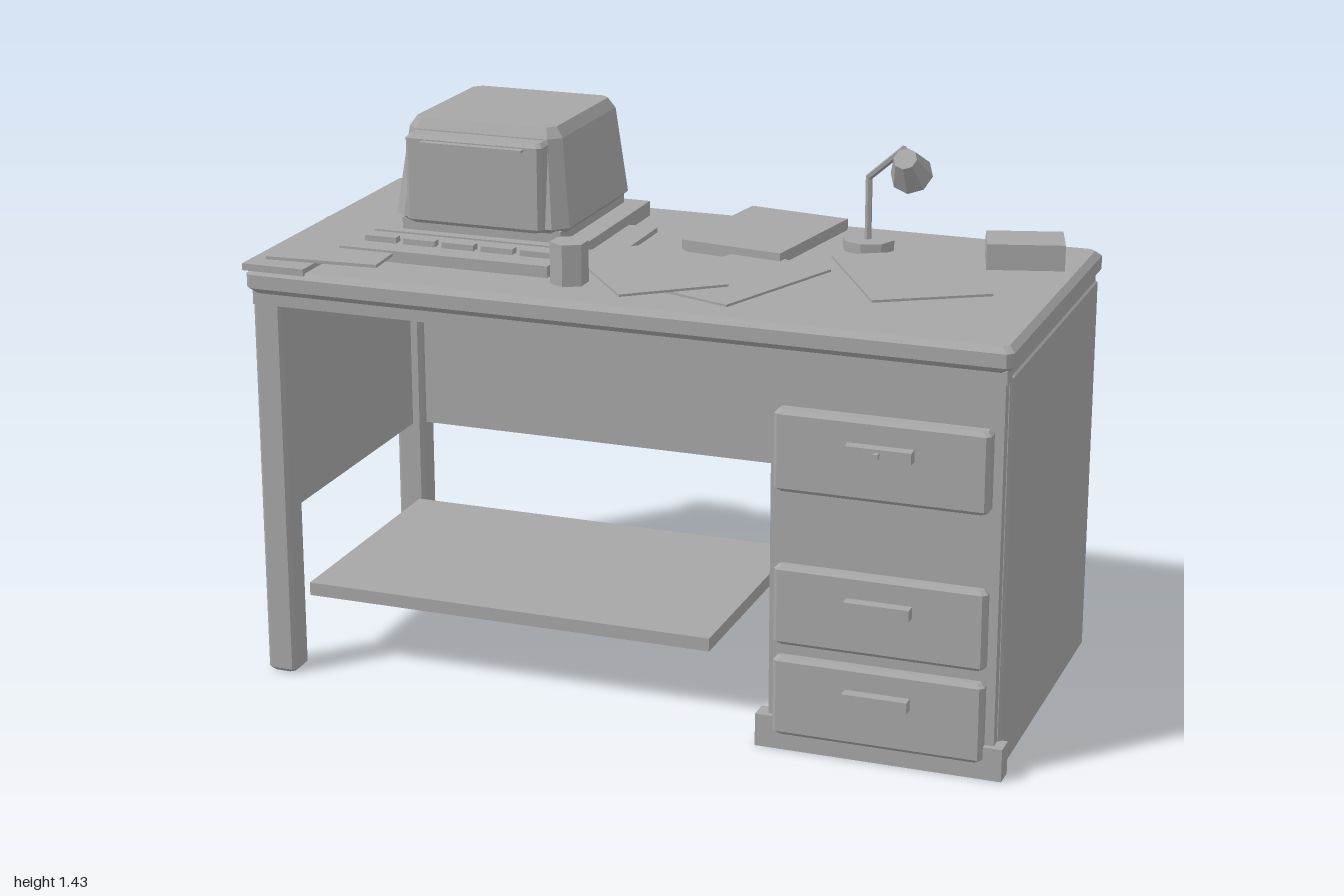
import * as THREE from 'three';

const grey = new THREE.MeshStandardMaterial({ color: 0xa6a6a6, flatShading: true, side: THREE.DoubleSide });
grey.name = 'plain grey';

// Stacks rectangular rings [y, x0, x1, z0, z1, cornerCut] into a closed solid
function loft(rings) {
  const pos = [], idx = [];
  for (const [y, x0, x1, z0, z1, c] of rings) {
    for (const [x, z] of [[x1, z1 - c], [x1, z0 + c], [x1 - c, z0], [x0 + c, z0],
      [x0, z0 + c], [x0, z1 - c], [x0 + c, z1], [x1 - c, z1]]) pos.push(x, y, z);
  }
  const last = (rings.length - 1) * 8;
  for (let r = 0; r < last; r += 8) {
    for (let i = 0; i < 8; i++) {
      const j = (i + 1) % 8;
      idx.push(r + i, r + j, r + 8 + j, r + i, r + 8 + j, r + 8 + i);
    }
  }
  for (let i = 1; i < 7; i++) idx.push(0, i + 1, i, last, last + i, last + i + 1);
  const g = new THREE.BufferGeometry();
  g.setAttribute('position', new THREE.Float32BufferAttribute(pos, 3));
  g.setIndex(idx);
  const flat = g.toNonIndexed();
  flat.computeVertexNormals();
  return flat;
}

// Box with every edge cut by b
const chamfered = (x0, x1, y0, y1, z0, z1, b) => loft([
  [y0, x0 + b, x1 - b, z0 + b, z1 - b, b],
  [y0 + b, x0, x1, z0, z1, b],
  [y1 - b, x0, x1, z0, z1, b],
  [y1, x0 + b, x1 - b, z0 + b, z1 - b, b],
]);

export function createModel() {
  const model = new THREE.Group();
  model.name = 'officeDesk';

  const add = (name, geometry, parent = model) => {
    const m = new THREE.Mesh(geometry, grey);
    m.name = name;
    parent.add(m);
    return m;
  };
  const box = (name, x0, x1, y0, y1, z0, z1, parent) => add(name, new THREE.BoxGeometry(x1 - x0, y1 - y0, z1 - z0)
    .translate((x0 + x1) / 2, (y0 + y1) / 2, (z0 + z1) / 2), parent);
  const turned = (name, x, y, z, w, h, d, angle) => {
    const m = add(name, new THREE.BoxGeometry(w, h, d));
    m.position.set(x, y, z);
    m.rotation.y = angle;
  };
  // Cylinder running between two points
  const rod = (name, a, b, ra, rb, sides, open, parent) => {
    const from = new THREE.Vector3(...a), dir = new THREE.Vector3(...b).sub(from);
    const m = add(name, new THREE.CylinderGeometry(rb, ra, dir.length(), sides, 1, open), parent);
    m.position.copy(from).addScaledVector(dir, 0.5);
    m.quaternion.setFromUnitVectors(new THREE.Vector3(0, 1, 0), dir.normalize());
  };
  const group = (name) => {
    const g = new THREE.Group();
    g.name = name;
    model.add(g);
    return g;
  };

  // Table top and the frame under it
  add('tableTop', chamfered(-0.995, 0.995, 1.035, 1.1, -0.495, 0.44, 0.015));
  box('topFrame', -0.98, 0.98, 1.005, 1.04, -0.48, 0.425);

  // Left legs, panels and low shelf
  for (const [name, z] of [['frontLeg', 0.34], ['backLeg', -0.485]]) {
    add(name, chamfered(-0.985, -0.905, 0, 1.02, z, z + 0.08, 0.01));
  }
  box('sidePanel', -0.955, -0.935, 0.43, 1.01, -0.41, 0.345);
  box('backPanel', -0.91, 0.21, 0.43, 1.01, -0.45, -0.43);
  box('lowShelf', -0.905, 0.21, 0.185, 0.22, -0.37, 0.32);

  // Sloping bracket between cabinet and back panel
  const profile = new THREE.Shape([[0.14, 1.01], [0.2, 0.945], [0.39, 0.88], [0.39, 1.01]]
    .map(([x, y]) => new THREE.Vector2(x, y)));
  add('bracket', new THREE.ExtrudeGeometry(profile, { depth: 0.035, bevelEnabled: false }).translate(0, 0, -0.485));

  // Drawer cabinet
  const cabinet = group('drawerCabinet');
  add('cabinetBody', chamfered(0.39, 0.985, 0, 1.02, -0.495, 0.385, 0.008), cabinet);
  box('cabinetFront', 0.4, 0.975, 0.02, 1.01, 0.37, 0.415, cabinet);
  box('plinth', 0.37, 1, 0, 0.085, 0.375, 0.43, cabinet);
  for (const [bottom, front] of [[0.685, 0.455], [0.283, 0.443], [0.043, 0.443]]) {
    add('drawer', chamfered(0.417, 0.952, bottom, bottom + 0.207, 0.4, front, 0.01), cabinet);
    box('drawerHandle', 0.605, 0.77, bottom + 0.117, bottom + 0.147, front - 0.005, front + 0.03, cabinet);
  }
  box('drawerLock', 0.68, 0.692, 0.81, 0.824, 0.48, 0.5, cabinet);

  // Mats and stand under the computer
  box('edgeMat', -1, -0.83, 1.095, 1.113, -0.5, 0.438);
  box('deskMat', -0.83, -0.14, 1.095, 1.113, -0.25, 0.12);
  box('computerBase', -0.785, -0.22, 1.1, 1.14, -0.405, 0.11);
  box('monitorStand', -0.72, -0.28, 1.135, 1.17, -0.37, 0.08);

  // Monitor
  const monitor = group('monitor');
  add('monitorCase', loft([
    [1.16, -0.72, -0.28, -0.365, 0.075, 0.03],
    [1.178, -0.743, -0.262, -0.387, 0.097, 0.035],
    [1.405, -0.712, -0.288, -0.362, 0.068, 0.03],
    [1.432, -0.693, -0.307, -0.345, 0.05, 0.02],
  ]), monitor);
  add('monitorBack', loft([
    [1.172, -0.625, -0.38, -0.482, -0.3, 0.015],
    [1.185, -0.638, -0.367, -0.497, -0.3, 0.02],
    [1.385, -0.61, -0.392, -0.47, -0.3, 0.02],
    [1.4, -0.592, -0.41, -0.455, -0.3, 0.01],
  ]), monitor);
  add('screenBezel', chamfered(-0.69, -0.315, 1.17, 1.402, 0.04, 0.122, 0.01), monitor);
  box('screenHood', -0.64, -0.36, 1.382, 1.389, 0.115, 0.143, monitor);

  // Keyboard
  const keyboard = group('keyboard');
  box('keyboardBody', -0.8, -0.23, 1.11, 1.14, 0.125, 0.29, keyboard);
  for (let i = 0; i < 5; i++) {
    const x = -0.76 + i * 0.107;
    box('key', x, x + 0.087, 1.135, 1.155, 0.197, 0.223, keyboard);
  }

  // Papers, book and small box
  turned('leftPaper', -0.805, 1.13, 0.21, 0.295, 0.008, 0.41, 0.07);
  turned('middlePaper', 0.005, 1.136, 0.21, 0.28, 0.006, 0.41, 0.68);
  turned('underPaper', 0.22, 1.122, 0.165, 0.28, 0.006, 0.41, -0.35);
  turned('rightPaper', 0.64, 1.143, 0.065, 0.3, 0.006, 0.41, 0.54);
  turned('book', 0.17, 1.13, -0.22, 0.28, 0.03, 0.39, -0.15);
  turned('smallBox', 0.855, 1.152, -0.22, 0.195, 0.066, 0.135, 0.28);

  // Pencil cup
  rod('pencilCup', [-0.145, 1.125, 0.353], [-0.145, 1.23, 0.353], 0.048, 0.048, 6, false);

  // Desk lamp
  const lamp = group('deskLamp');
  rod('lampBase', [0.425, 1.1, -0.29], [0.425, 1.127, -0.29], 0.069, 0.069, 8, false, lamp);
  rod('lampPole', [0.425, 1.12, -0.285], [0.425, 1.295, -0.285], 0.009, 0.009, 6, false, lamp);
  rod('lampArm', [0.425, 1.29, -0.285], [0.555, 1.405, -0.15], 0.009, 0.009, 6, false, lamp);
  rod('lampShade', [0.57, 1.335, -0.17], [0.57, 1.39, -0.108], 0.055, 0.03, 8, true, lamp);
  rod('lampShadeCap', [0.57, 1.385, -0.114], [0.57, 1.39, -0.108], 0.03, 0.03, 8, false, lamp);

  return model;
}
